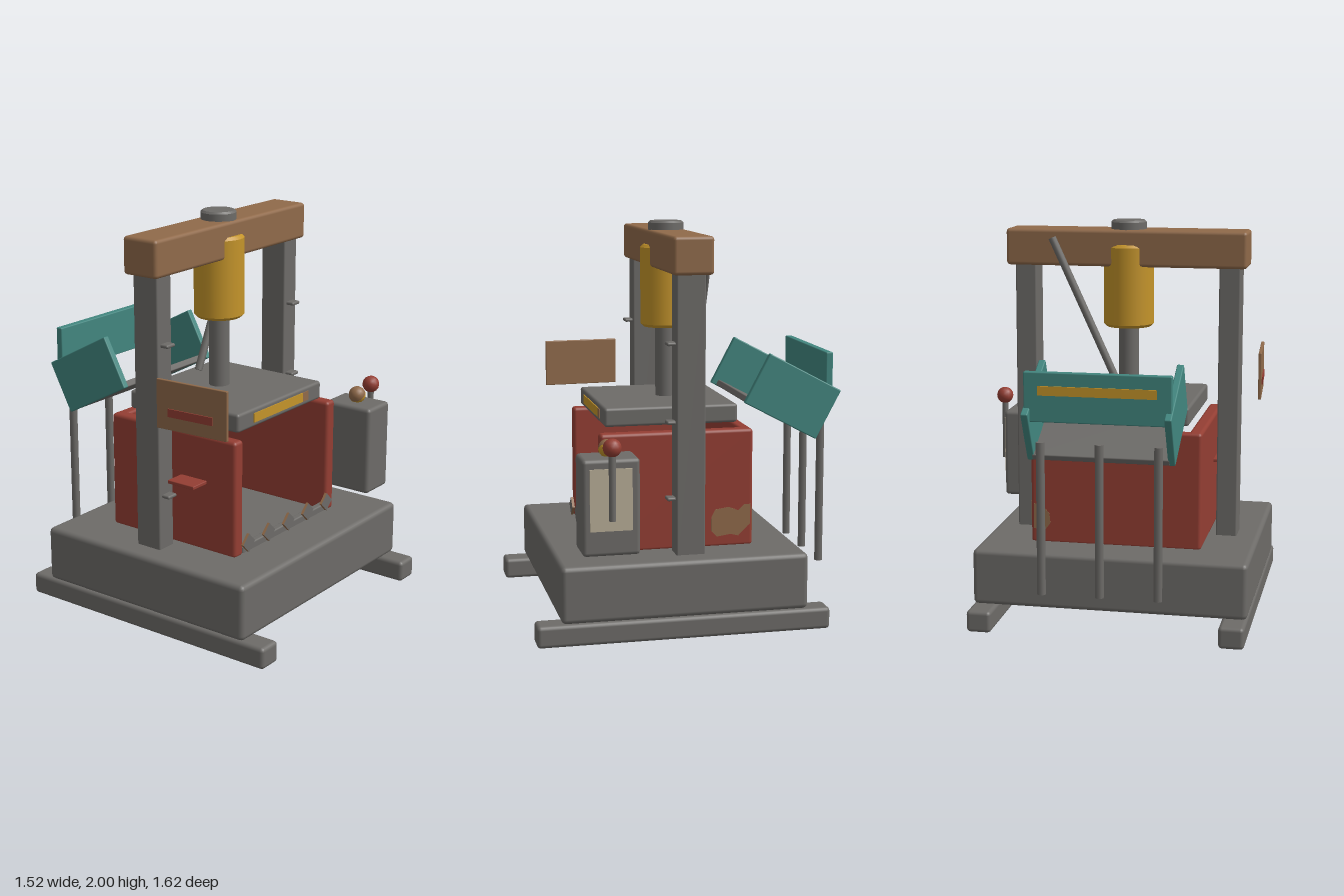
import * as THREE from 'three';
import { RoundedBoxGeometry } from 'three/addons/geometries/RoundedBoxGeometry.js';

const mat = (name, color, opts = {}) => {
  const m = new THREE.MeshStandardMaterial({ color, ...opts });
  m.name = name;
  return m;
};

export function createModel() {
  const steel = mat('steel grey', 0x6d6b68);
  const red = mat('brick red', 0x943e33);
  const teal = mat('teal', 0x42867f);
  const brown = mat('rust brown', 0x906a4a);
  const yellow = mat('ochre yellow', 0xc4942a);
  const cream = mat('cream', 0xb8ad97);

  const model = new THREE.Group();
  model.name = 'press';

  const add = (name, geo, material, x = 0, y = 0, z = 0, parent = model) => {
    const m = new THREE.Mesh(geo, material);
    m.name = name;
    m.position.set(x, y, z);
    parent.add(m);
    return m;
  };
  // Rounded box given by its limits on each axis
  const box = (name, material, [x0, x1], [y0, y1], [z0, z1], r = 0.012, parent = model) => {
    const w = x1 - x0, h = y1 - y0, d = z1 - z0;
    const geo = r > 0
      ? new RoundedBoxGeometry(w, h, d, 2, Math.min(r, w / 2.1, h / 2.1, d / 2.1))
      : new THREE.BoxGeometry(w, h, d);
    return add(name, geo, material, (x0 + x1) / 2, (y0 + y1) / 2, (z0 + z1) / 2, parent);
  };
  // Cylinder between two points
  const rod = (name, material, a, b, r, sides = 12) => {
    const p = new THREE.Vector3(...a), q = new THREE.Vector3(...b);
    const dir = q.clone().sub(p);
    const m = add(name, new THREE.CylinderGeometry(r, r, dir.length(), sides), material);
    m.position.copy(p).add(q).multiplyScalar(0.5);
    m.quaternion.setFromUnitVectors(new THREE.Vector3(0, 1, 0), dir.normalize());
    return m;
  };
  // Vertical turned part with bevelled ends
  const turned = (name, material, x, z, r, y0, y1, bevel) => {
    const pts = [[0, y0], [r - bevel, y0], [r - bevel, y0], [r, y0 + bevel], [r, y0 + bevel],
      [r, y1 - bevel], [r, y1 - bevel], [r - bevel, y1], [r - bevel, y1], [0, y1]];
    const geo = new THREE.LatheGeometry(pts.map(p => new THREE.Vector2(...p)), 24);
    return add(name, geo, material, x, 0, z);
  };

  // Skids and base
  box('leftSkid', steel, [0.5, 0.625], [0, 0.11], [-0.66, 0.81], 0.02);
  box('rightSkid', steel, [-0.76, -0.633], [0, 0.11], [-0.66, 0.81], 0.02);
  box('base', steel, [-0.76, 0.62], [0.11, 0.393], [-0.545, 0.69], 0.025);

  // Columns with bolts on their front faces
  for (const [side, x0, x1] of [['left', 0.402, 0.51], ['right', -0.645, -0.538]]) {
    box(side + 'Column', steel, [x0, x1], [0.38, 1.78], [-0.045, 0.1], 0.008);
    const c = (x0 + x1) / 2;
    for (const y of [0.67, 1.05, 1.435])
      box(side + 'ColumnBolt', steel, [c - 0.032, c + 0.032], [y - 0.009, y + 0.009], [0.09, 0.142], 0.008);
  }

  // Crossbeam, hydraulic cylinder and ram
  box('crossbeam', brown, [-0.68, 0.55], [1.77, 1.955], [-0.077, 0.125], 0.018);
  turned('topCap', steel, -0.067, 0.025, 0.09, 1.94, 2, 0.01);
  turned('hydraulicCylinder', yellow, -0.067, 0.028, 0.128, 1.46, 1.88, 0.015);
  rod('ram', steel, [-0.067, 1.08, 0.028], [-0.067, 1.48, 0.028], 0.052, 20);
  rod('diagonalHose', steel, [-0.055, 1.145, -0.115], [0.3, 1.915, -0.115], 0.02);

  // Pressing plate with its painted front strip
  box('pressPlate', steel, [-0.425, 0.29], [1.005, 1.1], [-0.265, 0.415], 0.015);
  box('pressStripe', yellow, [-0.3, 0.12], [1.03, 1.077], [0.412, 0.42], 0);
  box('pressStripeWorn', brown, [0.12, 0.17], [1.03, 1.077], [0.412, 0.42], 0);

  // Open-fronted bin
  box('binRightWall', red, [-0.5, -0.43], [0.385, 0.985], [-0.325, 0.453], 0.018);
  box('binLeftWall', red, [0.3, 0.37], [0.385, 0.985], [-0.325, 0.453], 0.018);
  box('binBackWall', red, [-0.49, 0.36], [0.385, 0.983], [-0.325, -0.267], 0.015);
  box('binSideShelf', red, [-0.605, -0.42], [0.738, 0.756], [0.12, 0.28], 0.004);

  // Rust patch wrapping the bin's rear left corner
  const patch = (pts) => new THREE.ExtrudeGeometry(
    new THREE.Shape(pts.map(p => new THREE.Vector2(...p))), { depth: 0.004, bevelEnabled: false });
  const sidePatch = add('rustPatchSide', patch([[0.11, 0.47], [0.14, 0.44], [0.21, 0.45], [0.25, 0.44],
    [0.3, 0.49], [0.312, 0.5], [0.312, 0.6], [0.28, 0.6], [0.25, 0.57], [0.2, 0.59], [0.13, 0.58],
    [0.11, 0.54]]), brown, 0.368);
  sidePatch.rotation.y = Math.PI / 2;
  add('rustPatchBack', patch([[0.27, 0.49], [0.3, 0.45], [0.355, 0.46], [0.355, 0.59], [0.31, 0.58],
    [0.275, 0.54]]), brown, 0, 0, -0.327);
  add('rustPatchInside', patch([[0.23, 0.51], [0.25, 0.45], [0.3, 0.45], [0.3, 0.56], [0.27, 0.55]]),
    brown, 0, 0, -0.268);

  // Row of diamond teeth along the bin's lip
  box('toothBar', steel, [-0.43, 0.31], [0.385, 0.428], [0.412, 0.45], 0.008);
  for (let i = 0; i < 5; i++) {
    const tooth = add('tooth', new THREE.BoxGeometry(0.068, 0.068, 0.014),
      [brown, brown, brown, brown, steel, steel], -0.412 + i * 0.172, 0.45, 0.468);
    tooth.rotation.z = Math.PI / 4;
  }

  // Control box with panel, lever and knobs
  box('controlBox', steel, [0.48, 0.68], [0.455, 0.925], [0.315, 0.595], 0.02);
  box('controlPanel', cream, [0.68, 0.689], [0.58, 0.88], [0.355, 0.56], 0);
  rod('lever', steel, [0.712, 0.635, 0.457], [0.712, 0.96, 0.457], 0.017);
  const knobRadius = 0.045;
  add('leverKnob', new THREE.IcosahedronGeometry(knobRadius, 2), red, 0.712, 0.987, 0.457);
  const button = new THREE.Group();
  button.name = 'button';
  button.position.set(0.58, 0.96, 0.455);
  button.rotation.z = 0.75;
  model.add(button);
  add('buttonWornSide', new THREE.SphereGeometry(knobRadius, 14, 6, 0, Math.PI * 2, 0, Math.PI / 2),
    brown, 0, 0, 0, button);
  add('buttonPaintedSide', new THREE.SphereGeometry(knobRadius, 14, 6, 0, Math.PI * 2, Math.PI / 2, Math.PI / 2),
    yellow, 0, 0, 0, button);

  // Hanging side plate with a handle strip on its outer face
  const sign = new THREE.Group();
  sign.name = 'sidePlate';
  sign.position.set(-0.715, 1.193, 0.362);
  sign.rotation.y = 0.07;
  model.add(sign);
  box('sidePlateBoard', brown, [-0.008, 0.008], [-0.122, 0.122], [-0.198, 0.198], 0.004, sign);
  box('sidePlateStrip', red, [-0.014, -0.007], [-0.055, -0.015], [-0.13, 0.12], 0, sign);

  // Tilted rear chute
  const chute = new THREE.Group();
  chute.name = 'chute';
  chute.position.set(0, 1.124, -0.556);
  chute.rotation.x = -0.49;
  model.add(chute);
  box('chuteLeftSide', teal, [0.26, 0.295], [-0.14, 0.14], [-0.213, 0.213], 0.006, chute);
  box('chuteRightSide', teal, [-0.425, -0.39], [-0.14, 0.14], [-0.213, 0.213], 0.006, chute);
  box('chuteFloor', steel, [-0.4, 0.27], [-0.138, -0.105], [-0.215, 0.185], 0.006, chute);
  box('chuteBackPanel', teal, [-0.42, 0.29], [1.105, 1.345], [-0.765, -0.728], 0.006);
  box('chuteStripe', yellow, [-0.35, 0.22], [1.235, 1.28], [-0.772, -0.764], 0);

  // Chute legs
  for (const x of [-0.352, -0.067, 0.22])
    rod('chuteLeg', steel, [x, 0.245, -0.725], [x, 1, -0.725], 0.021, 10);

  return model;
}
